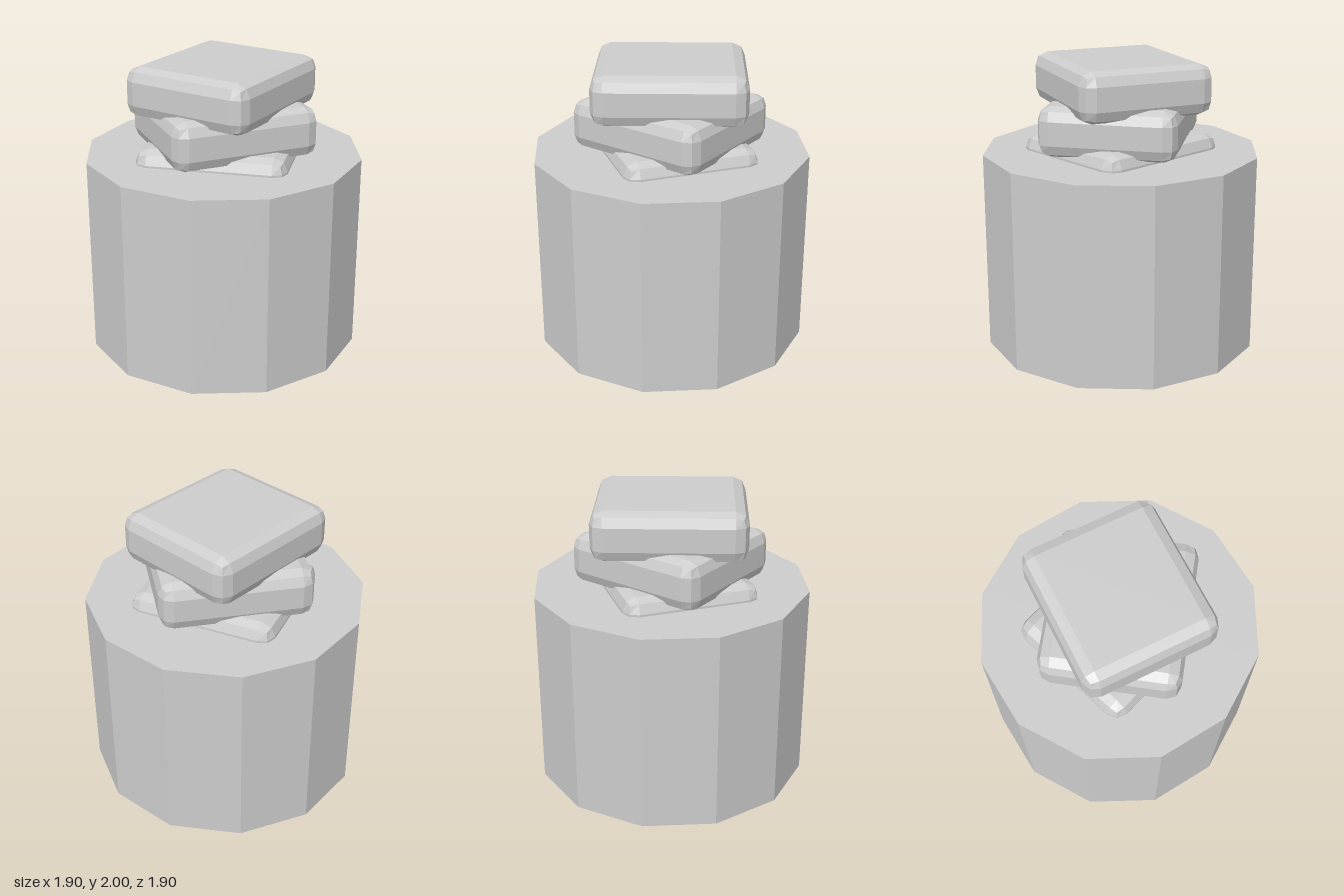
import * as THREE from 'three';
import { RoundedBoxGeometry } from 'three/addons/geometries/RoundedBoxGeometry.js';

export function createModel() {
  const model = new THREE.Group();
  const grey = new THREE.MeshStandardMaterial({ color: 0xcccccc, flatShading: true });
  grey.name = 'plain grey';

  // Twelve-sided pedestal
  const pedestalHeight = 1.37;
  const pedestal = new THREE.Mesh(
    new THREE.CylinderGeometry(0.95, 0.95, pedestalHeight, 12), grey);
  pedestal.name = 'pedestal';
  pedestal.position.y = pedestalHeight / 2;
  model.add(pedestal);

  // Stack of bevelled slabs, each turned 35 degrees from the one below;
  // the lowest is sunk into the pedestal
  const slabGeometry = new RoundedBoxGeometry(1.02, 0.34, 0.93, 1, 0.09);
  ['lowerSlab', 'middleSlab', 'upperSlab'].forEach((name, i) => {
    const slab = new THREE.Mesh(slabGeometry, grey);
    slab.name = name;
    slab.position.y = 1.83 - (2 - i) * 0.263;
    slab.rotation.y = THREE.MathUtils.degToRad(35 * i);
    model.add(slab);
  });

  return model;
}
